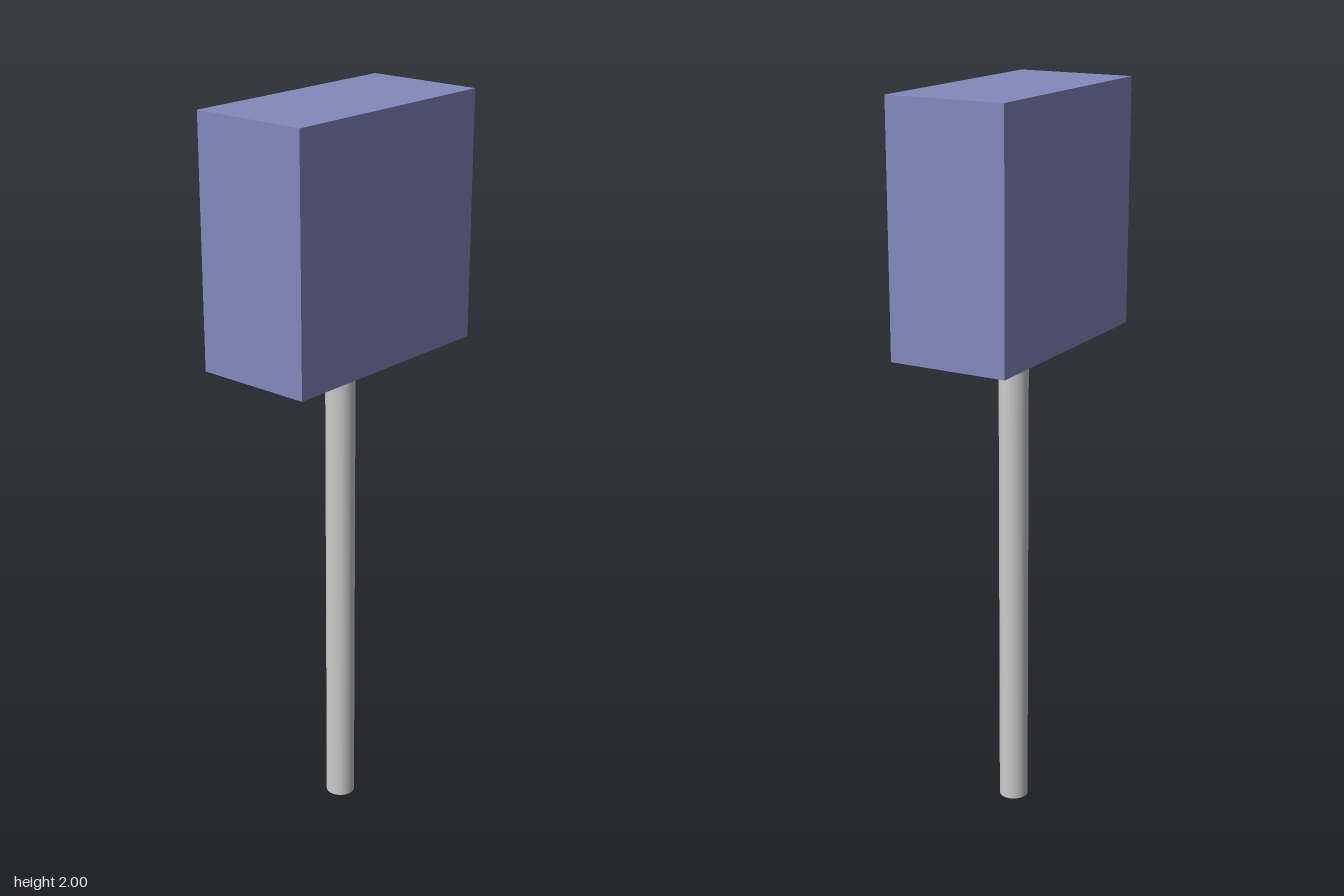
import * as THREE from 'three';

export function createModel() {
  const group = new THREE.Group();
  const boxHeight = 0.66, poleHeight = 1.34;

  // Sign box on top of the pole
  const box = new THREE.Mesh(
    new THREE.BoxGeometry(0.66, boxHeight, 0.33),
    new THREE.MeshStandardMaterial({ color: 0x8489bd })
  );
  box.name = 'signBox';
  box.position.y = poleHeight + boxHeight / 2;

  // Open-ended round tube
  const pole = new THREE.Mesh(
    new THREE.CylinderGeometry(0.04, 0.04, poleHeight, 32, 1, true),
    new THREE.MeshStandardMaterial({ color: 0xcccccc, side: THREE.DoubleSide })
  );
  pole.name = 'pole';
  pole.position.y = poleHeight / 2;

  group.add(box, pole);
  return group;
}
